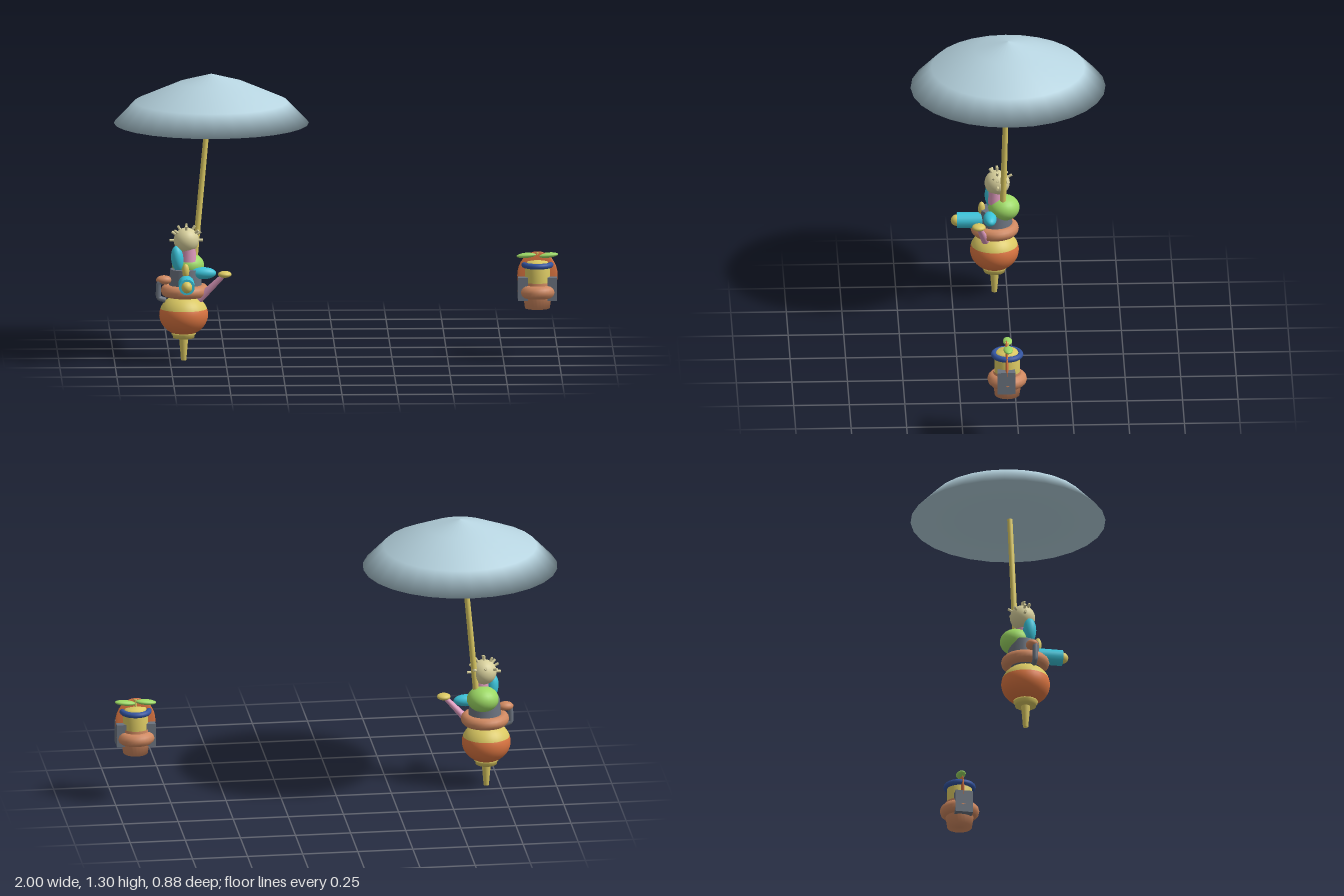
import * as THREE from 'three';

export function createModel() {
  const model = new THREE.Group();
  const mat = (name, color) => {
    const m = new THREE.MeshStandardMaterial({ color });
    m.name = name;
    return m;
  };
  const M = {
    canopy: mat('pale blue', 0xb6d3df), gold: mat('gold', 0xdac862), cream: mat('cream', 0xd8d09c),
    orange: mat('orange', 0xdb7541), copper: mat('copper', 0xcf8860), grey: mat('slate grey', 0x6a727e),
    cyan: mat('cyan', 0x3ac3d9), green: mat('leaf green', 0x9cd864), pink: mat('pink', 0xde9abd),
    navy: mat('navy', 0x3354a0),
  };

  const V = (x, y, z) => new THREE.Vector3(x, y, z);
  const add = (parent, name, geo, material, x = 0, y = 0, z = 0) => {
    const mesh = new THREE.Mesh(geo, material);
    mesh.name = name;
    mesh.position.set(x, y, z);
    parent.add(mesh);
    return mesh;
  };
  const ball = (parent, name, material, pos, size) => {
    const mesh = add(parent, name, new THREE.SphereGeometry(1, 24, 16), material, ...pos);
    mesh.scale.set(...size);
    return mesh;
  };
  const ring = (parent, name, material, pos, radius, tube) => {
    const mesh = add(parent, name, new THREE.TorusGeometry(radius, tube, 12, 32), material, ...pos);
    mesh.rotation.x = Math.PI / 2;
    return mesh;
  };
  // Tapered rod between two points
  const rod = (parent, name, material, a, b, ra, rb = ra) => {
    const dir = b.clone().sub(a);
    const mesh = add(parent, name, new THREE.CylinderGeometry(rb, ra, dir.length(), 14), material);
    mesh.position.copy(a).add(b).multiplyScalar(0.5);
    mesh.quaternion.setFromUnitVectors(V(0, 1, 0), dir.normalize());
    return mesh;
  };
  const lathe = (parent, name, material, points, pos, segments = 24) =>
    add(parent, name, new THREE.LatheGeometry(points.map(p => new THREE.Vector2(...p)), segments), material, ...pos);

  // Parasol: canopy with a closed, flat underside
  const parasol = new THREE.Group();
  parasol.name = 'parasol';
  model.add(parasol);
  lathe(parasol, 'canopy', M.canopy,
    [[0, 1.073], [0.439, 1.073], [0.345, 1.17], [0.15, 1.255], [0, 1.297]], [-0.562, 0, 0], 28);
  rod(parasol, 'pole', M.gold, V(-0.64, 0.43, 0.021), V(-0.572, 1.16, 0.003), 0.014, 0.012);

  // Floating figure
  const figure = new THREE.Group();
  figure.name = 'figure';
  model.add(figure);
  const fx = -0.688, fz = 0.057;
  lathe(figure, 'spike', M.gold, [[0, 0], [0.012, 0], [0.021, 0.105]], [fx, 0, fz]);
  lathe(figure, 'baseCollar', M.gold,
    [[0, 0.1], [0.048, 0.102], [0.05, 0.116], [0.055, 0.119], [0.055, 0.13], [0, 0.132]], [fx, 0, fz]);
  const split = 1.27;
  const bowl = add(figure, 'bowl', new THREE.SphereGeometry(0.11, 32, 16, 0, Math.PI * 2, split, Math.PI - split),
    M.orange, fx, 0.208, fz);
  const bowlTop = add(figure, 'bowlTop', new THREE.SphereGeometry(0.11, 32, 12, 0, Math.PI * 2, 0, split),
    M.gold, fx, 0.208, fz);
  bowl.scale.y = bowlTop.scale.y = 0.86;
  ring(figure, 'waistRing', M.copper, [-0.682, 0.318, 0.056], 0.081, 0.028);
  add(figure, 'torso', new THREE.CylinderGeometry(0.068, 0.078, 0.12, 24), M.grey, -0.68, 0.355, 0.05);
  ball(figure, 'backpack', M.green, [-0.667, 0.426, 0.015], [0.072, 0.058, 0.071]);
  add(figure, 'neck', new THREE.CylinderGeometry(0.03, 0.034, 0.07, 20), M.pink, -0.665, 0.485, 0.053);

  // Head with fans of short bristles
  const head = V(-0.676, 0.545, 0.045);
  ball(figure, 'head', M.cream, head.toArray(), [0.057, 0.057, 0.057]);
  const bristleFan = (count, lean) => {
    for (let i = 0; i < count; i++) {
      const a = Math.PI * i / (count - 1);
      const d = V(Math.cos(a), Math.sin(a) * Math.cos(lean), -Math.sin(a) * Math.sin(lean));
      rod(figure, 'bristle', M.cream, head.clone().addScaledVector(d, 0.045),
        head.clone().addScaledVector(d, 0.076), 0.006, 0.006);
    }
  };
  bristleFan(7, 0);
  bristleFan(5, 1.05);
  bristleFan(5, -0.45);

  // Arms
  const rightArm = ball(figure, 'rightSleeve', M.cyan, [-0.717, 0.465, 0.07], [0.028, 0.058, 0.03]);
  rightArm.rotation.z = 0.1;
  ball(figure, 'leftSleeve', M.cyan, [-0.6, 0.4, 0.08], [0.058, 0.027, 0.03]);

  // Front nozzle
  const nozzle = new THREE.Group();
  nozzle.name = 'nozzle';
  figure.add(nozzle);
  rod(nozzle, 'nozzleBarrel', M.cyan, V(-0.678, 0.36, 0.1), V(-0.678, 0.36, 0.226), 0.036);
  ball(nozzle, 'nozzleTip', M.gold, [-0.678, 0.36, 0.228], [0.024, 0.026, 0.026]);
  ball(nozzle, 'nozzleLever', M.gold, [-0.68, 0.415, 0.115], [0.016, 0.033, 0.016]);

  // Side spout with a flat rose
  rod(figure, 'spout', M.pink, V(-0.62, 0.285, 0.1), V(-0.512, 0.397, 0.133), 0.019, 0.011);
  ball(figure, 'spoutRose', M.gold, [-0.505, 0.403, 0.133], [0.031, 0.015, 0.031]);

  // Side handle
  ball(figure, 'handleGrip', M.copper, [-0.777, 0.368, 0.07], [0.036, 0.021, 0.028]);
  const handlePath = new THREE.CatmullRomCurve3(
    [V(-0.775, 0.365, 0.08), V(-0.8, 0.355, 0.08), V(-0.802, 0.29, 0.08), V(-0.77, 0.278, 0.08)], false, 'catmullrom', 0.2);
  add(figure, 'handle', new THREE.TubeGeometry(handlePath, 20, 0.012, 10), M.grey);

  // Hovering companion
  const drone = new THREE.Group();
  drone.name = 'hoveringCompanion';
  drone.position.set(0.904, 0, 0.053);
  model.add(drone);
  lathe(drone, 'pot', M.copper, [[0, 0.23], [0.056, 0.23], [0.066, 0.3], [0.062, 0.35]], [0, 0, 0]);
  ring(drone, 'potBelly', M.copper, [0, 0.308, 0], 0.058, 0.031);
  lathe(drone, 'drum', M.gold, [[0.057, 0.34], [0.057, 0.425], [0.045, 0.445], [0, 0.452]], [0, 0, 0]);
  ring(drone, 'band', M.navy, [0, 0.428, 0], 0.06, 0.013);
  ball(drone, 'fin', M.orange, [0, 0.38, 0.003], [0.091, 0.109, 0.009]);
  for (const side of [-1, 1]) {
    add(drone, 'sideBlock', new THREE.BoxGeometry(0.044, 0.105, 0.08), M.grey, side * 0.066, 0.322, 0.006);
    const blade = ball(drone, 'propellerBlade', M.green, [side * 0.047, 0.47, -0.003], [0.047, 0.012, 0.021]);
    blade.rotation.z = 0.1;
  }
  add(drone, 'propellerHub', new THREE.CylinderGeometry(0.008, 0.008, 0.05, 12), M.gold, 0, 0.46, 0);

  return model;
}
